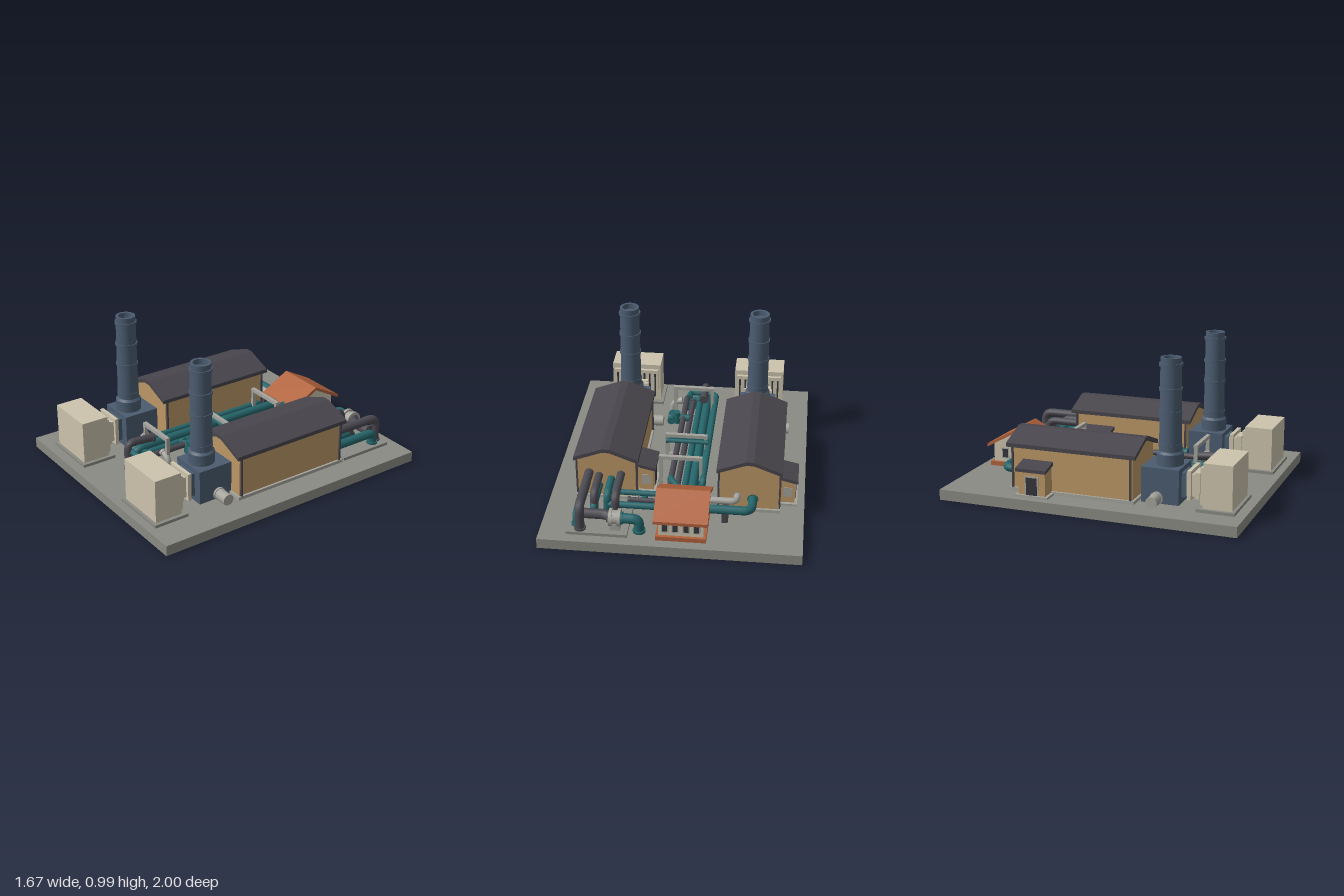
import * as THREE from 'three';
import { toCreasedNormals } from 'three/addons/utils/BufferGeometryUtils.js';

const mat = (name, color, side = THREE.FrontSide) => {
  const m = new THREE.MeshStandardMaterial({ color, side });
  m.name = name;
  return m;
};
const V = (x, y, z) => new THREE.Vector3(x, y, z);

export function createModel() {
  const concrete = mat('concrete', 0x8b8b84);
  const tan = mat('tan wall', 0xbc9766);
  const cream = mat('cream panel', 0xcdc4ae);
  const slate = mat('slate roof', 0x48464c);
  const steelBlue = mat('blue steel', 0x4b5c70);
  const orange = mat('orange roof', 0xb1623c);
  const teal = mat('teal pipe', 0x25656a);
  const darkPipe = mat('dark pipe', 0x4c4a52);
  const grey = mat('light grey steel', 0xa5a49d);
  const glass = mat('dark opening', 0x34363b);

  const model = new THREE.Group();
  model.name = 'powerPlant';

  const add = (parent, name, geo, material, x = 0, y = 0, z = 0) => {
    const m = new THREE.Mesh(geo, material);
    m.name = name;
    m.position.set(x, y, z);
    parent.add(m);
    return m;
  };
  // box given by its minimum and maximum corners
  const box = (parent, name, material, x0, x1, y0, y1, z0, z1) =>
    add(parent, name, new THREE.BoxGeometry(x1 - x0, y1 - y0, z1 - z0), material,
      (x0 + x1) / 2, (y0 + y1) / 2, (z0 + z1) / 2);
  // cylinder between two points
  const rod = (parent, name, material, a, b, r) => {
    const d = b.clone().sub(a);
    const m = add(parent, name, new THREE.CylinderGeometry(r, r, d.length(), 18), material);
    m.position.copy(a).add(b).multiplyScalar(0.5);
    m.quaternion.setFromUnitVectors(V(0, 1, 0), d.normalize());
    return m;
  };
  // pipe with rounded corners and a flange at each end
  const pipe = (parent, name, material, r, pts, flange = material) => {
    const p = pts.map(q => V(...q));
    const path = new THREE.CurvePath();
    let from = p[0];
    for (let i = 1; i < p.length - 1; i++) {
      const before = p[i - 1].clone().sub(p[i]), after = p[i + 1].clone().sub(p[i]);
      const bend = Math.min(r * 2, before.length() * 0.48, after.length() * 0.48);
      const a = p[i].clone().addScaledVector(before.normalize(), bend);
      const b = p[i].clone().addScaledVector(after.normalize(), bend);
      path.add(new THREE.LineCurve3(from, a));
      path.add(new THREE.QuadraticBezierCurve3(a, p[i], b));
      from = b;
    }
    const last = p[p.length - 1];
    path.add(new THREE.LineCurve3(from, last));
    const n = Math.max(6, Math.ceil(path.getLength() / 0.014));
    add(parent, name, new THREE.TubeGeometry(path, n, r, 12), material);
    for (const [end, next] of [[p[0], p[1]], [last, p[p.length - 2]]]) {
      const d = next.clone().sub(end).normalize();
      rod(parent, name + 'Flange', flange, end, end.clone().addScaledVector(d, 0.018), r * 1.25);
    }
  };
  // outline in x and y, extruded along z about its middle
  const prism = (pts, depth) => new THREE.ExtrudeGeometry(
    new THREE.Shape(pts.map(q => new THREE.Vector2(...q))), { depth, bevelEnabled: false })
    .translate(0, 0, -depth / 2);
  const roofOutline = (half, eave, ridge, flat, t) => [
    [-half, eave], [-flat, ridge - t], [flat, ridge - t], [half, eave],
    [half, eave + t], [flat, ridge], [-flat, ridge], [-half, eave + t]];

  // ground slab
  box(model, 'groundSlab', concrete, -0.835, 0.835, 0, 0.07, -1, 1);

  // turbine hall with annex on its -x side
  const hall = (name, x, z) => {
    const g = new THREE.Group();
    g.name = name;
    g.position.set(x, 0, z);
    model.add(g);
    box(g, 'hallPlinth', grey, -0.205, 0.205, 0.07, 0.092, -0.43, 0.43);
    add(g, 'hallWalls', prism([[-0.19, 0.09], [0.19, 0.09], [0.19, 0.372], [0.03, 0.437],
      [-0.03, 0.437], [-0.19, 0.372]], 0.83), tan);
    add(g, 'hallRoof', prism(roofOutline(0.212, 0.362, 0.46, 0.025, 0.026), 0.885), slate);
    for (const sx of [-1, 1]) {
      for (const sz of [-1, 1])
        box(g, 'downpipe', slate, sx * 0.198 - 0.006, sx * 0.198 + 0.006, 0.08, 0.37,
          sz * 0.405 - 0.006, sz * 0.405 + 0.006);
    }
    box(g, 'annexPlinth', grey, -0.312, -0.19, 0.07, 0.085, -0.34, -0.115);
    box(g, 'annexWalls', tan, -0.295, -0.18, 0.08, 0.25, -0.32, -0.135);
    add(g, 'annexRoof', prism([[-0.312, 0.237], [-0.18, 0.268], [-0.18, 0.29], [-0.312, 0.259]], 0.21),
      slate, 0, 0, -0.228);
    box(g, 'annexDoorFrame', grey, -0.299, -0.294, 0.085, 0.21, -0.275, -0.18);
    box(g, 'annexDoor', glass, -0.302, -0.297, 0.085, 0.2, -0.265, -0.19);
    box(g, 'annexVent', grey, -0.275, -0.22, 0.13, 0.2, -0.324, -0.319);
  };
  hall('rightHall', -0.475, -0.142);
  hall('leftHall', 0.46, -0.09);

  // boiler casing, stack, duct and air intake, centred on the stack
  const stackLine = (name, x, z) => {
    const g = new THREE.Group();
    g.name = name;
    g.position.set(x, 0, z);
    model.add(g);
    box(g, 'boilerCasing', steelBlue, -0.127, 0.127, 0.07, 0.3, -0.15, 0.1);
    const profile = [[0.086, 0.29], [0.086, 0.375], [0.072, 0.39], [0.067, 0.93], [0.066, 0.985],
      [0.048, 0.985], [0.046, 0.9]].map(q => new THREE.Vector2(...q));
    add(g, 'stack', toCreasedNormals(new THREE.LatheGeometry(profile, 28), 0.6), steelBlue);
    add(g, 'stackInside', new THREE.CylinderGeometry(0.047, 0.047, 0.01, 24), glass, 0, 0.9, 0);
    for (const y of [0.425, 0.64, 0.785, 0.94]) {
      add(g, 'stackRing', new THREE.CylinderGeometry(0.075, 0.075, 0.018, 28), steelBlue, 0, y, 0);
    }
    for (const s of [-1, 1]) {
      rod(g, 'sideDrum', grey, V(s * 0.12, 0.105, -0.045), V(s * 0.235, 0.105, -0.045), 0.038);
      rod(g, 'drumBand', grey, V(s * 0.127, 0.105, -0.045), V(s * 0.142, 0.105, -0.045), 0.043);
    }
    box(g, 'ductCollar', steelBlue, -0.07, 0.07, 0.11, 0.27, 0.1, 0.14);
    box(g, 'ductNeck', cream, -0.078, 0.078, 0.125, 0.27, 0.135, 0.25);
    box(g, 'ductFlange', cream, -0.1, 0.1, 0.105, 0.295, 0.145, 0.17);
    box(g, 'ductFlange', cream, -0.09, 0.09, 0.115, 0.285, 0.195, 0.225);
    box(g, 'intakePad', concrete, -0.2, 0.2, 0.07, 0.09, 0.235, 0.48);
    box(g, 'intakeHouse', cream, -0.176, 0.176, 0.09, 0.38, 0.272, 0.46);
    box(g, 'intakeFrame', cream, -0.16, 0.16, 0.105, 0.345, 0.25, 0.275);
    // louvres on the face towards the stack
    for (let i = 0; i < 8; i++) {
      const lx = -0.138 + i * 0.0394;
      box(g, 'louvreGap', glass, lx - 0.006, lx + 0.006, 0.13, 0.32, 0.246, 0.251);
    }
  };
  stackLine('rightStackLine', -0.47, 0.455);
  stackLine('leftStackLine', 0.433, 0.468);

  // control house, ridge along x
  const house = new THREE.Group();
  house.name = 'controlHouse';
  house.position.set(-0.07, 0, -0.745);
  model.add(house);
  box(house, 'housePlinth', orange, -0.16, 0.16, 0.07, 0.1, -0.19, 0.19);
  add(house, 'houseWalls', prism([[-0.17, 0.09], [0.17, 0.09], [0.17, 0.23], [0, 0.325], [-0.17, 0.23]], 0.285),
    cream).rotation.y = Math.PI / 2;
  add(house, 'houseRoof', prism(roofOutline(0.207, 0.205, 0.338, 0.003, 0.022), 0.343), orange)
    .rotation.y = Math.PI / 2;
  for (const s of [-1, 1]) {
    for (const x of [-0.1, -0.035, 0.035, 0.1]) {
      const z = s * 0.171;
      box(house, 'windowFrame', grey, x - 0.023, x + 0.023, 0.125, 0.2, z - 0.003, z + 0.003);
      box(house, 'window', glass, x - 0.016, x + 0.016, 0.133, 0.192, z - 0.0045, z + 0.0045);
    }
    for (const z of [-0.085, 0.085]) {
      const x = s * 0.144;
      box(house, 'windowFrame', grey, x - 0.003, x + 0.003, 0.125, 0.2, z - 0.027, z + 0.027);
      box(house, 'window', glass, x - 0.0045, x + 0.0045, 0.133, 0.192, z - 0.019, z + 0.019);
    }
  }

  // central pipe rack
  const rack = new THREE.Group();
  rack.name = 'pipeRack';
  model.add(rack);
  for (const [z, top] of [[-0.378, 0.34], [0.0, 0.27], [0.522, 0.34]]) {
    for (const x of [-0.145, 0.12])
      box(rack, 'rackPost', grey, x - 0.011, x + 0.011, 0.07, top, z - 0.012, z + 0.012);
    box(rack, 'rackBeam', grey, -0.156, 0.131, top - 0.024, top, z - 0.013, z + 0.013);
    box(rack, 'rackShelf', grey, -0.156, 0.131, 0.095, 0.112, z - 0.012, z + 0.012);
  }
  pipe(rack, 'tealLoop', teal, 0.02,
    [[-0.165, 0.09, -0.45], [-0.165, 0.2, -0.45], [-0.165, 0.2, 0.66], [-0.1, 0.2, 0.68], [0.03, 0.2, 0.68], [0.03, 0.2, 0.6]]);
  pipe(rack, 'tealMain', teal, 0.03,
    [[-0.105, 0.19, -0.55], [-0.105, 0.19, 0.6], [-0.105, 0.145, 0.66], [0.01, 0.145, 0.66], [0.01, 0.145, 0.58]]);
  pipe(rack, 'tealLower', teal, 0.022, [[-0.145, 0.14, -0.4], [-0.145, 0.14, 0.68], [-0.03, 0.14, 0.695]]);
  pipe(rack, 'tealReturn', teal, 0.022, [[-0.05, 0.17, -0.55], [-0.05, 0.17, 0.6]]);
  pipe(rack, 'tealBranch', teal, 0.02,
    [[-0.02, 0.21, -0.55], [0.03, 0.21, -0.48], [0.05, 0.21, -0.43], [0.05, 0.09, -0.43]]);
  pipe(rack, 'darkMain', darkPipe, 0.026,
    [[-0.085, 0.25, 0.5], [-0.085, 0.265, 0.7], [-0.085, 0.08, 0.7]]);
  pipe(rack, 'darkLine', darkPipe, 0.02, [[0.0, 0.17, -0.55], [0.0, 0.17, 0.6]]);
  pipe(rack, 'darkLine', darkPipe, 0.02,
    [[0.045, 0.08, -0.46], [0.045, 0.2, -0.46], [0.045, 0.2, 0.62], [0.045, 0.08, 0.65]]);
  pipe(rack, 'greyDrop', grey, 0.02, [[0.07, 0.22, 0.53], [0.14, 0.2, 0.53], [0.14, 0.08, 0.53]]);
  for (const z of [-0.035, 0.008])
    pipe(rack, 'crossover', teal, 0.014, [[-0.165, 0.235, z], [0.125, 0.235, z]]);
  pipe(rack, 'valveBranch', teal, 0.022, [[0.0, 0.2, 0.325], [0.15, 0.2, 0.325]]);
  pipe(rack, 'valveBody', teal, 0.022, [[0.125, 0.2, 0.27], [0.125, 0.2, 0.38]]);
  rod(rack, 'valveWheel', teal, V(0.09, 0.16, 0.325), V(0.09, 0.245, 0.325), 0.026);

  // pipes between halls and control house
  const yard = new THREE.Group();
  yard.name = 'yardPipes';
  model.add(yard);
  pipe(yard, 'rightHallFeed', teal, 0.029, [[-0.5, 0.16, -0.54], [-0.5, 0.16, -0.69], [-0.2, 0.16, -0.69]]);
  pipe(yard, 'rightHallReturn', grey, 0.022, [[-0.4, 0.18, -0.54], [-0.4, 0.18, -0.62], [-0.2, 0.18, -0.62]]);
  box(yard, 'pipeSupport', slate, -0.35, -0.31, 0.07, 0.14, -0.71, -0.6);
  pipe(yard, 'leftHallFeed', teal, 0.022, [[0.05, 0.15, -0.69], [0.44, 0.15, -0.69], [0.44, 0.15, -0.48]]);
  pipe(yard, 'leftHallReturn', teal, 0.018, [[0.05, 0.2, -0.62], [0.4, 0.2, -0.62], [0.4, 0.2, -0.48]]);
  pipe(yard, 'drain', teal, 0.018, [[0.2, 0.15, -0.63], [0.2, 0.15, -0.56], [0.2, 0.08, -0.55]]);
  pipe(yard, 'darkFeed', darkPipe, 0.016, [[0.05, 0.17, -0.655], [0.3, 0.17, -0.655]]);

  // pump skid behind the left hall
  box(yard, 'skidPad', concrete, 0.27, 0.66, 0.07, 0.09, -0.93, -0.54);
  pipe(yard, 'steamLine', darkPipe, 0.027, [[0.365, 0.26, -0.48], [0.365, 0.26, -0.76], [0.365, 0.085, -0.76]]);
  pipe(yard, 'steamLine', darkPipe, 0.027, [[0.51, 0.24, -0.48], [0.51, 0.24, -0.71], [0.51, 0.085, -0.71]]);
  pipe(yard, 'tealSteamLine', teal, 0.025, [[0.43, 0.22, -0.48], [0.43, 0.22, -0.68], [0.43, 0.085, -0.68]]);
  pipe(yard, 'tealSteamLine', teal, 0.025, [[0.51, 0.165, -0.48], [0.51, 0.165, -0.735], [0.51, 0.085, -0.735]]);
  pipe(yard, 'outerSteamLine', darkPipe, 0.03, [[0.575, 0.26, -0.48], [0.575, 0.26, -0.885], [0.575, 0.085, -0.885]]);
  pipe(yard, 'outerTealLine', teal, 0.03, [[0.6, 0.165, -0.48], [0.6, 0.165, -0.84], [0.6, 0.085, -0.84]]);
  pipe(yard, 'pumpSuction', teal, 0.033, [[0.2, 0.075, -0.86], [0.2, 0.17, -0.86], [0.32, 0.17, -0.86]]);
  pipe(yard, 'pumpDischarge', darkPipe, 0.033, [[0.37, 0.17, -0.86], [0.42, 0.17, -0.83], [0.58, 0.17, -0.83]]);
  rod(yard, 'pumpBody', grey, V(0.315, 0.17, -0.855), V(0.335, 0.17, -0.855), 0.058);
  rod(yard, 'pumpBody', grey, V(0.33, 0.17, -0.855), V(0.375, 0.17, -0.855), 0.045);
  rod(yard, 'pumpBody', grey, V(0.37, 0.17, -0.855), V(0.39, 0.17, -0.855), 0.058);
  box(yard, 'pumpFoot', grey, 0.32, 0.385, 0.09, 0.14, -0.89, -0.82);

  return model;
}
